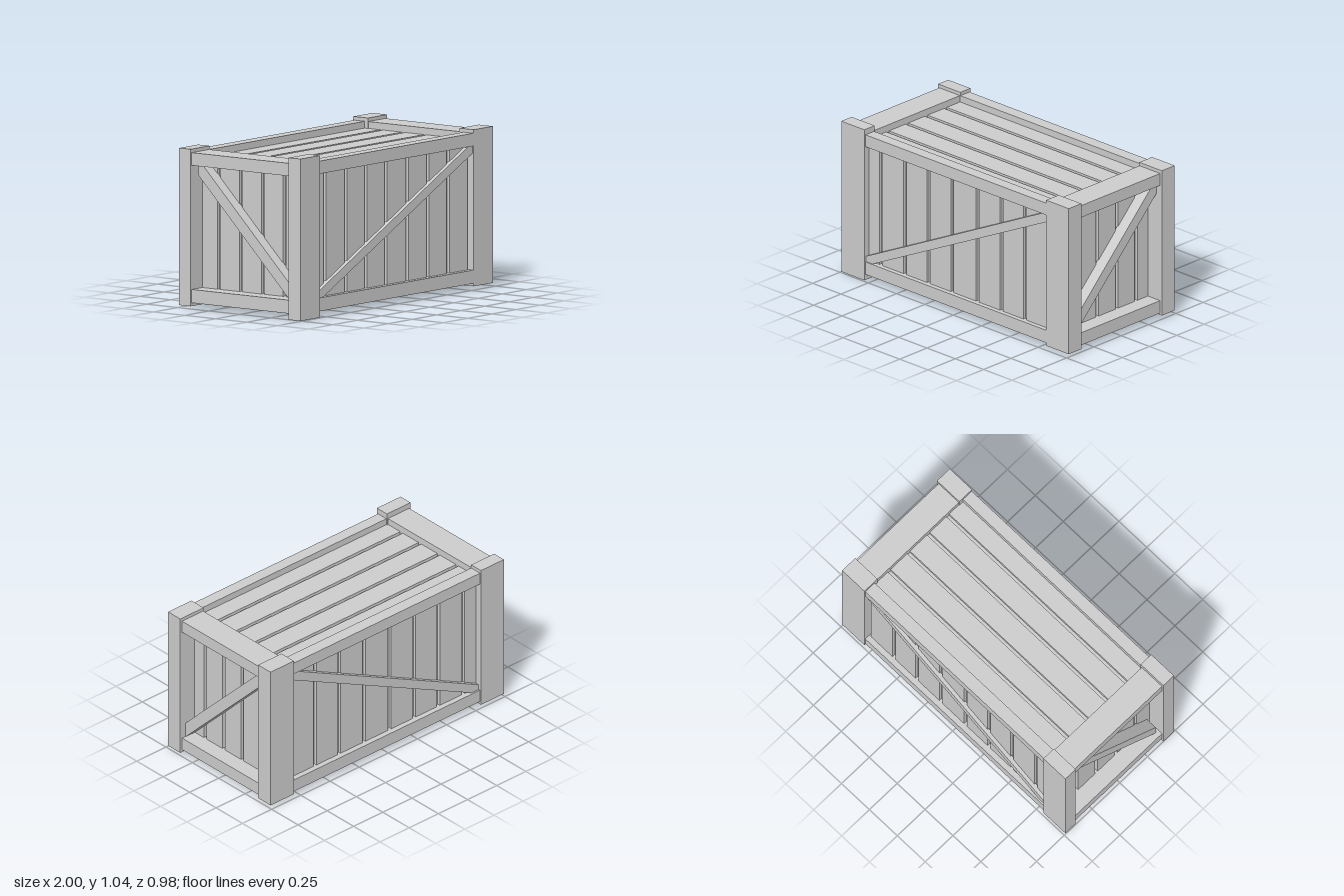
import * as THREE from 'three';

const material = new THREE.MeshStandardMaterial({ color: 0xcccccc, flatShading: true });

// Box given by its minimum and maximum on each axis
function block(parent, name, [x0, x1], [y0, y1], [z0, z1]) {
  const mesh = new THREE.Mesh(new THREE.BoxGeometry(x1 - x0, y1 - y0, z1 - z0), material);
  mesh.position.set((x0 + x1) / 2, (y0 + y1) / 2, (z0 + z1) / 2);
  mesh.name = name;
  parent.add(mesh);
}

// Board spans left over between gap centres
function spans(start, end, gaps, width) {
  const edges = [start, ...gaps.flatMap((g) => [g - width / 2, g + width / 2]), end];
  const out = [];
  for (let i = 0; i < edges.length; i += 2) out.push([edges[i], edges[i + 1]]);
  return out;
}

// Flat diagonal board, its ends cut to fit the frame
function brace(parent, name, points, depth) {
  const shape = new THREE.Shape(points.map(([x, y]) => new THREE.Vector2(x, y)));
  const geometry = new THREE.ExtrudeGeometry(shape, { depth, bevelEnabled: false });
  const mesh = new THREE.Mesh(geometry, material);
  mesh.name = name;
  parent.add(mesh);
  return mesh;
}

function group(parent, name) {
  const g = new THREE.Group();
  g.name = name;
  parent.add(g);
  return g;
}

export function createModel() {
  const crate = new THREE.Group();
  crate.name = 'crate';

  // Inner box seen through the gaps between boards
  block(crate, 'innerBox', [-0.855, 0.855], [0.105, 0.935], [-0.425, 0.425]);

  // Corner posts, each cut slightly differently
  const posts = group(crate, 'cornerPosts');
  block(posts, 'frontLeftPost', [0.8, 1], [0.02, 1.025], [0.365, 0.48]);
  block(posts, 'backLeftPost', [0.8, 1], [0.025, 1.025], [-0.49, -0.372]);
  block(posts, 'frontRightPost', [-1, -0.797], [0, 1.04], [0.393, 0.488]);
  block(posts, 'backRightPost', [-1, -0.803], [0.017, 1.025], [-0.49, -0.397]);

  // Top and bottom frame rails
  const rails = group(crate, 'rails');
  for (const [level, y] of [['top', [0.92, 1.002]], ['bottom', [0.038, 0.124]]]) {
    block(rails, level + 'FrontRail', [-0.85, 0.85], y, [0.398, 0.477]);
    block(rails, level + 'BackRail', [-0.85, 0.85], y, [-0.482, -0.398]);
    block(rails, level + 'LeftRail', [0.804, 0.985], y, [-0.44, 0.44]);
    block(rails, level + 'RightRail', [-0.988, -0.806], y, [-0.44, 0.44]);
  }

  // Upright boards of the front and back
  const sideGaps = [-0.692, -0.478, -0.272, -0.062, 0.16, 0.373, 0.58, 0.797];
  const sideBoards = group(crate, 'sideBoards');
  for (const x of spans(-0.82, 0.84, sideGaps, 0.026)) {
    block(sideBoards, 'frontBoard', x, [0.1, 0.94], [0.41, 0.445]);
    block(sideBoards, 'backBoard', x, [0.1, 0.94], [-0.445, -0.41]);
  }

  // Upright boards of the ends, and long boards of the lid and floor
  const gaps = [-0.263, -0.088, 0.09, 0.265];
  const endBoards = group(crate, 'endBoards');
  const lidBoards = group(crate, 'lidBoards');
  const floorBoards = group(crate, 'floorBoards');
  for (const z of spans(-0.41, 0.41, gaps, 0.024)) {
    block(endBoards, 'leftBoard', [0.84, 0.877], [0.1, 0.94], z);
    block(endBoards, 'rightBoard', [-0.877, -0.84], [0.1, 0.94], z);
    block(lidBoards, 'lidBoard', [-0.82, 0.82], [0.925, 0.958], z);
    block(floorBoards, 'floorBoard', [-0.82, 0.82], [0.082, 0.115], z);
  }

  // Diagonal braces
  const braces = group(crate, 'braces');
  const longCut = [[-0.8, 0.124], [-0.74, 0.124], [0.8, 0.872], [0.8, 0.92], [0.757, 0.92], [-0.8, 0.16]];
  const shortCut = [[-0.37, 0.124], [-0.362, 0.124], [0.37, 0.857], [0.37, 0.92], [0.33, 0.92], [-0.37, 0.22]];
  brace(braces, 'frontBrace', longCut, 0.035).position.z = 0.435;
  brace(braces, 'backBrace', longCut, 0.035).position.z = -0.47;
  for (const [name, x] of [['leftBrace', 0.87], ['rightBrace', -0.955]]) {
    const mesh = brace(braces, name, shortCut, 0.085);
    mesh.rotation.y = Math.PI / 2;
    mesh.position.x = x;
  }

  return crate;
}
